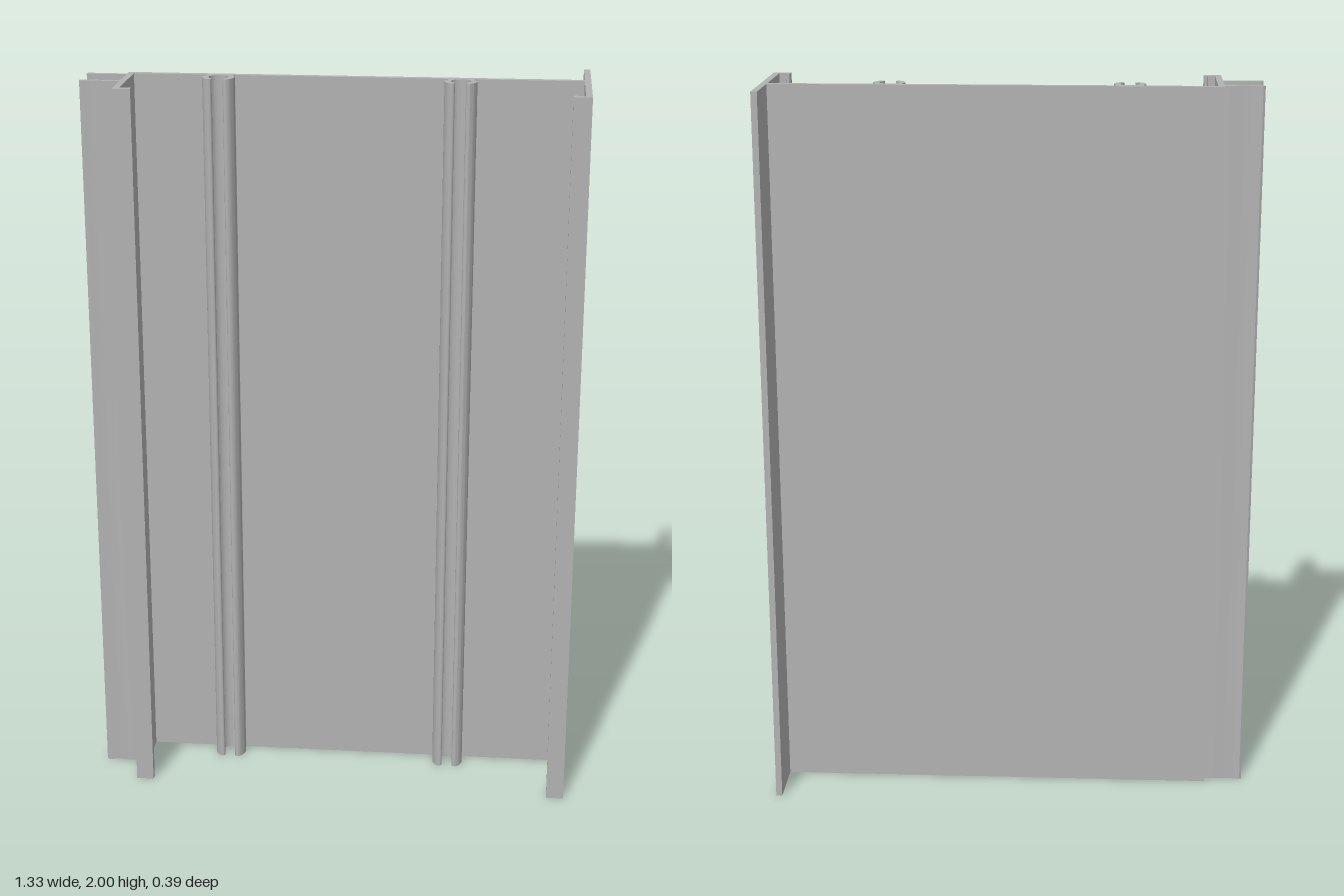
import * as THREE from 'three';
import { toCreasedNormals } from 'three/addons/utils/BufferGeometryUtils.js';

const HEIGHT = 2;

export function createModel() {
  const group = new THREE.Group();
  const aluminium = new THREE.MeshStandardMaterial({ color: 0xb2b2b2 });

  // Extrudes a plan outline of [x, z] points up the full height
  function addProfile(name, points) {
    const shape = new THREE.Shape(points.map(([x, z]) => new THREE.Vector2(x, -z)));
    let geometry = new THREE.ExtrudeGeometry(shape, { depth: HEIGHT, bevelEnabled: false });
    geometry.rotateX(-Math.PI / 2);
    geometry = toCreasedNormals(geometry, 0.6);
    const mesh = new THREE.Mesh(geometry, aluminium);
    mesh.name = name;
    group.add(mesh);
  }
  const rect = (x0, x1, z0, z1) => [[x0, z0], [x1, z0], [x1, z1], [x0, z1]];

  // Points along an arc, angles in degrees from +x towards +z
  function arc(cx, cz, r, from, to, steps) {
    return Array.from({ length: steps + 1 }, (_, i) => {
      const a = THREE.MathUtils.degToRad(from + (to - from) * i / steps);
      return [cx + r * Math.cos(a), cz + r * Math.sin(a)];
    });
  }

  // Main panel and the two side walls
  addProfile('panel', rect(-0.56, 0.647, -0.045, -0.027));
  addProfile('leftWall', rect(0.647, 0.664, -0.197, 0.192));
  addProfile('rightWall', rect(-0.56, -0.543, -0.027, 0.192));

  // Inward lips with a small raised edge
  const lip = (x, d) => [
    [x, 0.192], [x + 0.031 * d, 0.192], [x + 0.031 * d, 0.173], [x + 0.027 * d, 0.168],
    [x + 0.021 * d, 0.168], [x + 0.019 * d, 0.175], [x, 0.175],
  ];
  addProfile('rightLip', lip(-0.543, 1));
  addProfile('leftLip', lip(0.647, -1));

  // Side fins with thickened tips, mirrored about the slot between them
  for (const [name, z, d] of [['backFin', -0.016, 1], ['frontFin', 0.081, -1]]) {
    addProfile(name, [
      [-0.56, -0.006], [-0.605, -0.006], [-0.63, -0.004], [-0.652, -0.008], [-0.661, -0.009],
      [-0.667, -0.005], [-0.667, 0.005], [-0.661, 0.008], [-0.65, 0.006], [-0.63, 0.008],
      [-0.605, 0.006], [-0.56, 0.006],
    ].map(([x, dz]) => [x, z + dz * d]));
  }

  // Open screw channels, each a pair of curved arms
  const tip = THREE.MathUtils.degToRad(132);
  const arm = [
    [0, -0.027], [-0.04, -0.027], [-0.035, -0.021], [-0.036, -0.015],
    ...arc(0, 0.003, 0.043, 188, 132, 7),
    ...arc(0.0345 * Math.cos(tip), 0.003 + 0.0345 * Math.sin(tip), 0.0085, 105, -15, 5),
    ...arc(0, 0.003, 0.026, 135, 270, 12),
  ];
  for (const [name, x] of [['rightScrewChannel', -0.312], ['leftScrewChannel', 0.326]]) {
    for (const side of [1, -1]) {
      addProfile(name + (side > 0 ? 'OuterArm' : 'InnerArm'), arm.map(([dx, z]) => [x + dx * side, z]));
    }
  }
  return group;
}
